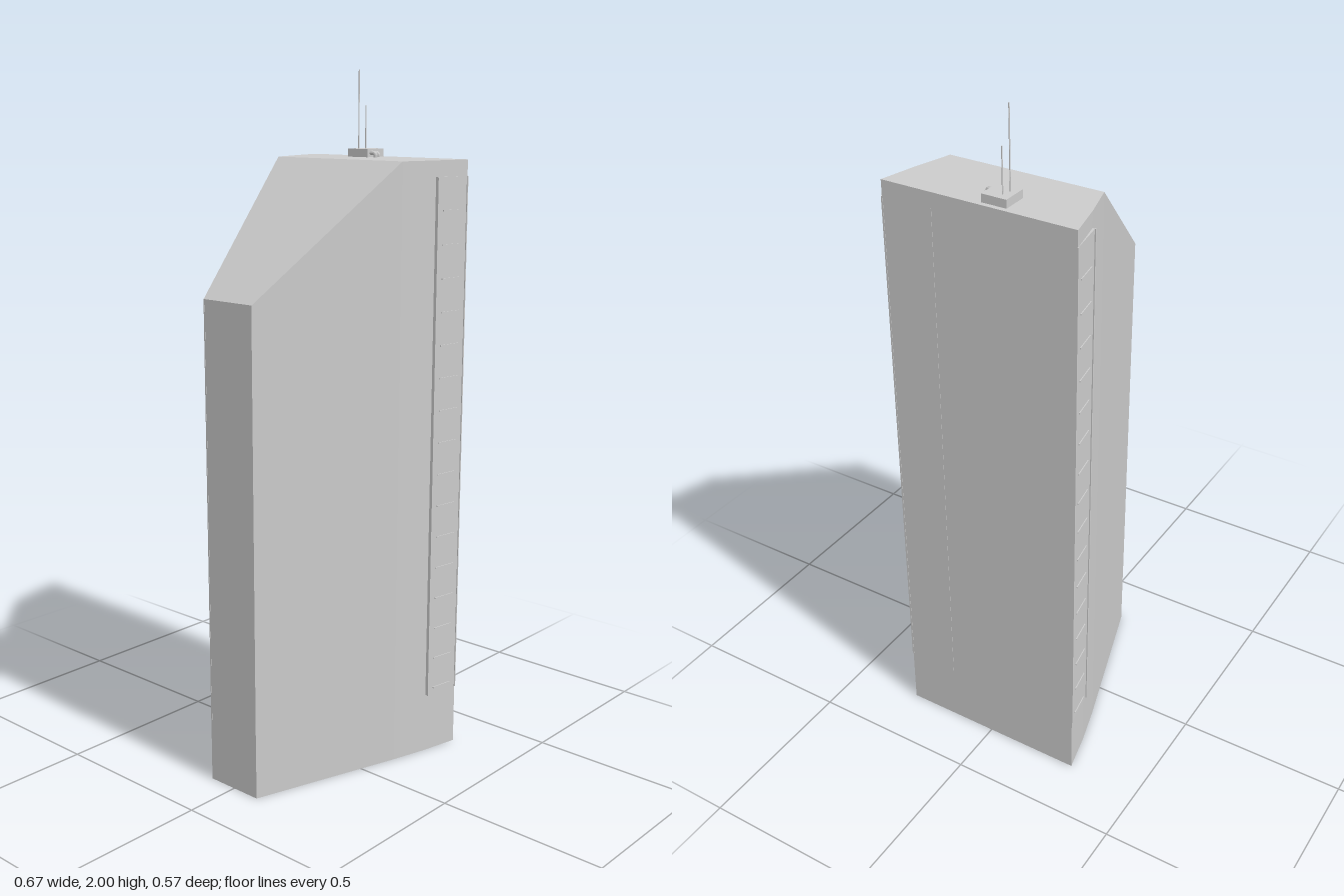
import * as THREE from 'three';

const material = new THREE.MeshStandardMaterial({ color: 0xcccccc, flatShading: true });

function add(parent, name, geometry, x = 0, y = 0, z = 0) {
  const mesh = new THREE.Mesh(geometry, material);
  mesh.name = name;
  mesh.position.set(x, y, z);
  parent.add(mesh);
  return mesh;
}

// Closed hull through cross-sections [x, half width, height] standing on y = 0
function hullGeometry(sections) {
  const p = [];
  const ring = ([x, w, h]) => [[x, 0, w], [x, h, w], [x, h, -w], [x, 0, -w]];
  const quad = (a, b, c, d) => p.push(...a, ...b, ...c, ...a, ...c, ...d);
  const rings = sections.map(ring);
  for (let i = 0; i < rings.length - 1; i++) {
    const a = rings[i], b = rings[i + 1];
    for (let j = 0; j < 4; j++) {
      const k = (j + 1) % 4;
      quad(a[j], b[j], b[k], a[k]);
    }
  }
  const first = rings[0], last = rings[rings.length - 1];
  quad(first[0], first[1], first[2], first[3]);
  quad(last[3], last[2], last[1], last[0]);
  const geometry = new THREE.BufferGeometry();
  geometry.setAttribute('position', new THREE.Float32BufferAttribute(p, 3));
  geometry.computeVertexNormals();
  return geometry;
}

export function createModel() {
  const model = new THREE.Group();
  model.name = 'towerBlock';

  // Wedge-shaped tower with a sloping roof toward the narrow end
  add(model, 'tower', hullGeometry([
    [-0.333, 0.089, 1.4], [0.11, 0.229, 1.755], [0.22, 0.26, 1.755], [0.332, 0.285, 1.755],
  ]));

  // Raised facade strips with rails and ledges, on both long sides
  const bottom = 0.18, top = 1.71, height = top - bottom, middle = (top + bottom) / 2;
  for (const s of [1, -1]) {
    const strip = new THREE.Group();
    strip.name = s > 0 ? 'frontStrip' : 'backStrip';
    model.add(strip);

    const outline = [[0.22, 0.25], [0.22, 0.267], [0.3315, 0.2855], [0.3315, 0.25]];
    const shape = new THREE.Shape(outline.map(([x, z]) => new THREE.Vector2(x, -s * z)));
    const panel = new THREE.ExtrudeGeometry(shape, { depth: height, bevelEnabled: false });
    panel.rotateX(-Math.PI / 2);
    add(strip, 'panel', panel, 0, bottom, 0);

    for (const [x, z] of [[0.22, 0.268], [0.331, 0.285]]) {
      add(strip, 'rail', new THREE.BoxGeometry(0.004, height, 0.005), x, middle, s * z);
    }
    for (let i = 0; i < 16; i++) {
      const ledge = add(strip, 'ledge', new THREE.BoxGeometry(0.07, 0.004, 0.005),
        0.276, 0.2 + i * 0.0945, s * 0.2765);
      ledge.rotation.y = -s * 0.164;
    }
    // Slim trim along the narrow end's corners
    add(model, 'cornerTrim', new THREE.BoxGeometry(0.003, 1.4 - bottom, 0.004),
      -0.332, (1.4 + bottom) / 2, s * 0.087);
  }

  // Slim seam on the wide end
  add(model, 'endSeam', new THREE.BoxGeometry(0.002, height, 0.003), 0.332, middle, 0.135);

  // Rooftop unit with two bent ducts and two masts
  const unit = new THREE.Group();
  unit.name = 'rooftopUnit';
  model.add(unit);
  add(unit, 'housing', new THREE.BoxGeometry(0.073, 0.024, 0.073), 0.2815, 1.766, -0.0425);
  for (const [x, reach, r] of [[0.261, 0.012, 0.006], [0.281, 0.006, 0.005]]) {
    const path = new THREE.CatmullRomCurve3([
      new THREE.Vector3(x, 1.767, -0.012), new THREE.Vector3(x, 1.767, reach - 0.007),
      new THREE.Vector3(x, 1.764, reach - 0.001), new THREE.Vector3(x, 1.752, reach),
    ]);
    add(unit, 'duct', new THREE.TubeGeometry(path, 12, r, 10));
  }
  for (const [x, z, tip, r] of [[0.271, -0.06, 2, 0.0018], [0.294, -0.053, 1.9, 0.0018]]) {
    add(unit, 'mast', new THREE.CylinderGeometry(r, r, tip - 1.77, 8), x, (tip + 1.77) / 2, z);
  }

  return model;
}
